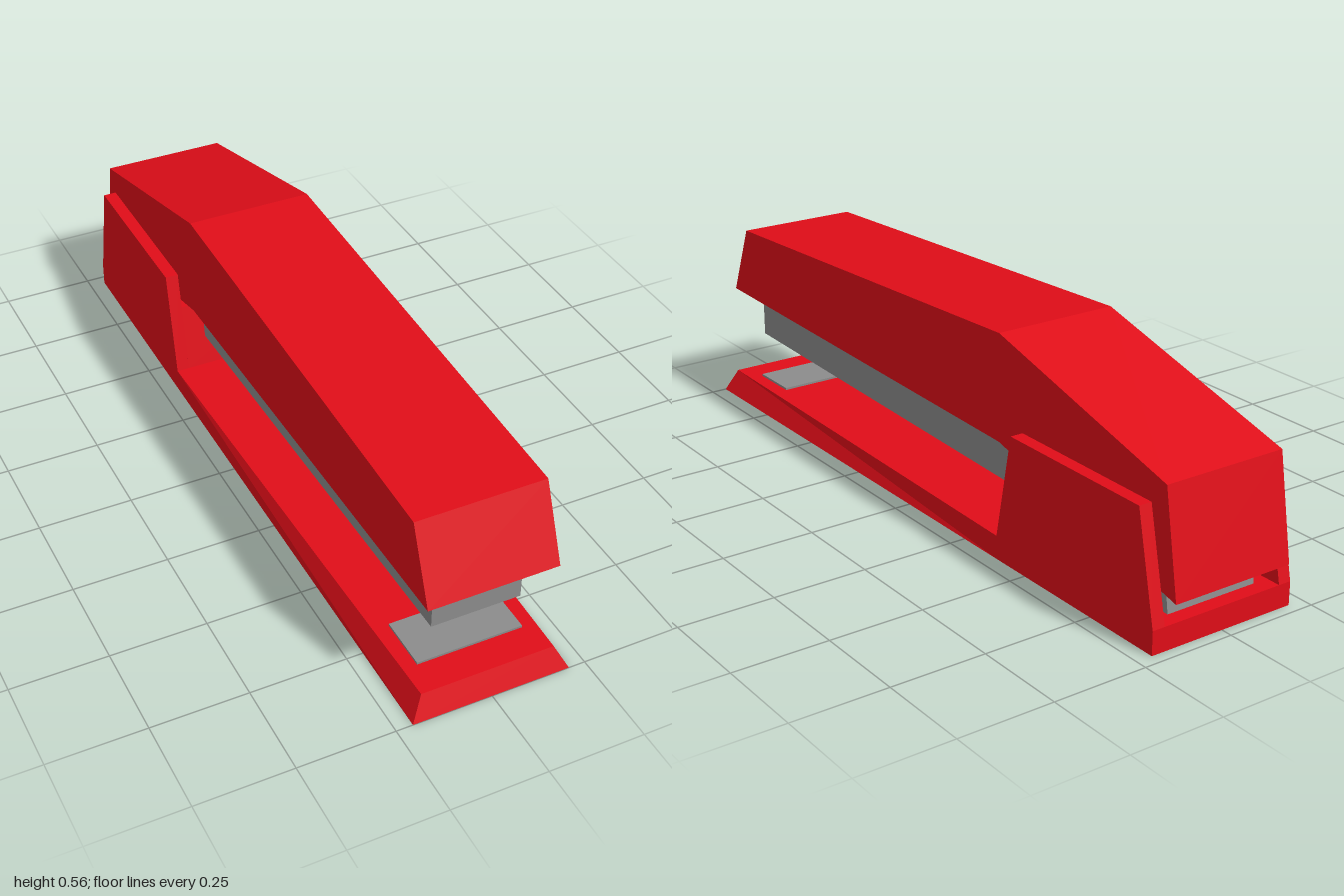
import * as THREE from 'three';

const material = color => new THREE.MeshStandardMaterial({ color, flatShading: true });
const red = material(0xe00d18);
const grey = material(0x8c8c8c);

// Extrudes a side profile of [z, y] points across the width from x0 to x1.
function slab(name, profile, x0, x1, mat) {
  const shape = new THREE.Shape(profile.map(([z, y]) => new THREE.Vector2(-z, y)));
  const geometry = new THREE.ExtrudeGeometry(shape, { depth: x1 - x0, bevelEnabled: false });
  geometry.rotateY(Math.PI / 2); // shape x -> -z, depth -> +x
  geometry.translate(x0, 0, 0);
  const mesh = new THREE.Mesh(geometry, mat);
  mesh.name = name;
  return mesh;
}

// Lofts four-cornered sections, listed front to back, into a closed solid.
// Each section is [bottom z, top z, bottom half width, top half width].
function loftBase(sections, height) {
  const positions = [];
  const index = [];
  for (const [zb, zt, wb, wt] of sections) {
    positions.push(-wb, 0, zb, wb, 0, zb, wt, height, zt, -wt, height, zt);
  }
  const last = (sections.length - 1) * 4;
  for (let s = 0; s < last; s += 4) {
    for (let i = 0; i < 4; i++) {
      const a = s + i, b = s + (i + 1) % 4;
      index.push(a, a + 4, b, b, a + 4, b + 4);
    }
  }
  index.push(0, 1, 2, 0, 2, 3, last, last + 2, last + 1, last, last + 3, last + 2);
  const geometry = new THREE.BufferGeometry();
  geometry.setAttribute('position', new THREE.Float32BufferAttribute(positions, 3));
  geometry.setIndex(index);
  const flat = geometry.toNonIndexed();
  flat.computeVertexNormals();
  return flat;
}

export function createModel() {
  const model = new THREE.Group();
  model.name = 'stapler';

  // Base plate, narrowing along its top towards the front
  const base = new THREE.Mesh(loftBase([
    [1, 0.975, 0.207, 0.175],
    [-0.385, -0.385, 0.207, 0.207],
    [-0.97, -0.97, 0.207, 0.207],
  ], 0.062), red);
  base.name = 'base';
  model.add(base);

  // Upright cheeks on both sides of the hinge
  const cheek = [[-0.385, 0.06], [-0.44, 0.342], [-0.91, 0.342], [-0.97, 0.06]];
  model.add(slab('leftCheek', cheek, 0.172, 0.207, red));
  model.add(slab('rightCheek', cheek, -0.207, -0.172, red));

  // Low wall joining the cheeks at the front
  model.add(slab('frontWall',
    [[-0.385, 0.06], [-0.421, 0.245], [-0.46, 0.245], [-0.43, 0.06]], -0.173, 0.173, red));

  // Top handle
  model.add(slab('handle', [
    [0.975, 0.318], [0.895, 0.513], [-0.34, 0.563],
    [-0.955, 0.398], [-1, 0.128], [-0.34, 0.285],
  ], -0.169, 0.169, red));

  // Staple magazine under the handle
  model.add(slab('magazine',
    [[0.905, 0.33], [-0.42, 0.29], [-0.395, 0.15], [0.905, 0.187]], -0.117, 0.117, grey));

  // Hinge block between the cheeks
  model.add(slab('hingeBlock',
    [[-0.44, 0.267], [-0.92, 0.13], [-0.93, 0.06], [-0.44, 0.06]], -0.13, 0.13, grey));

  // Anvil plate
  const anvil = new THREE.Mesh(new THREE.BoxGeometry(0.28, 0.01, 0.14), grey);
  anvil.name = 'anvil';
  anvil.position.set(0, 0.063, 0.82);
  model.add(anvil);

  return model;
}
